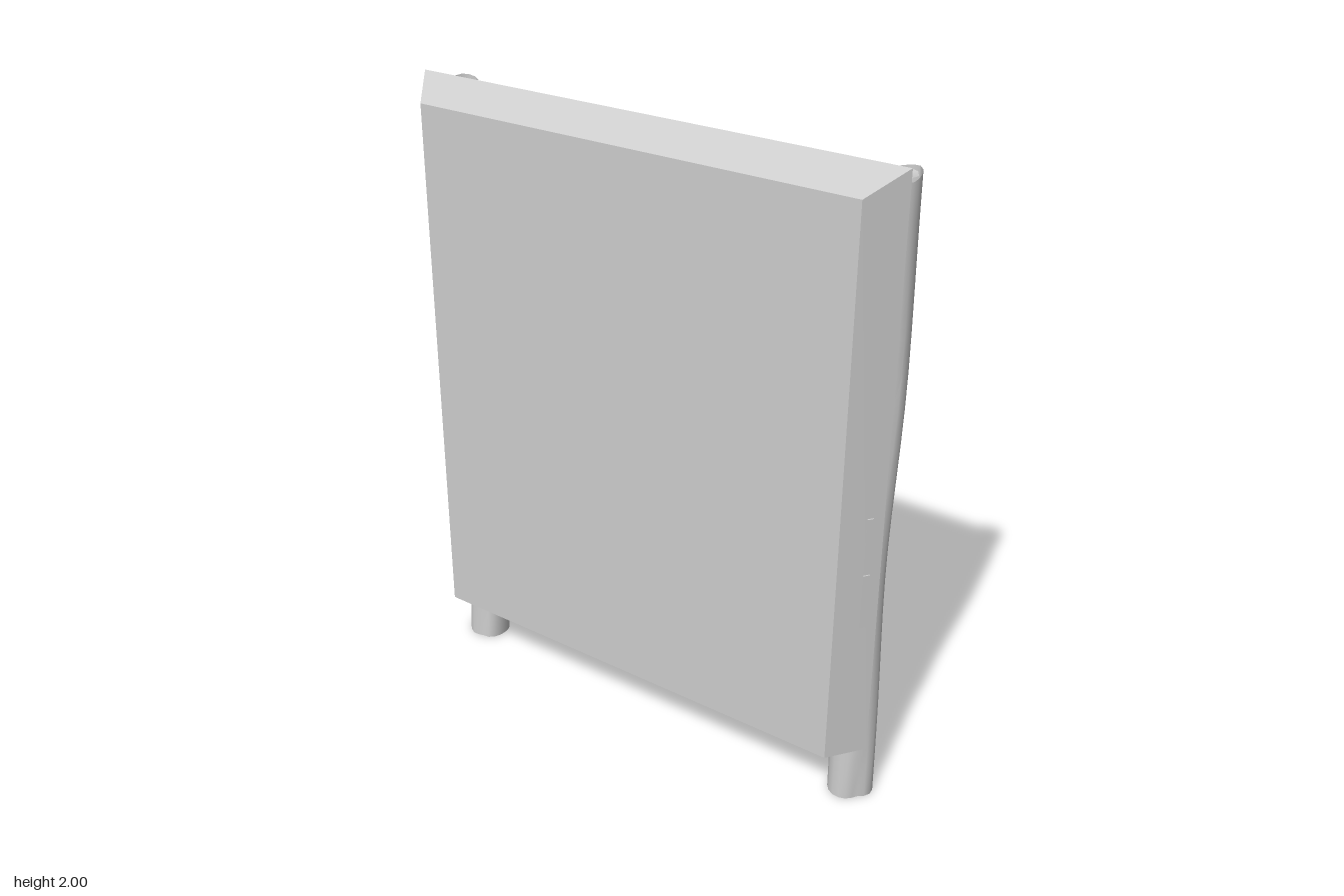
import * as THREE from 'three';
import { mergeVertices, toCreasedNormals } from 'three/addons/utils/BufferGeometryUtils.js';

const grey = new THREE.MeshStandardMaterial({ color: 0xcccccc, side: THREE.DoubleSide });

function add(parent, geometry, name) {
  const mesh = new THREE.Mesh(geometry, grey);
  mesh.name = name;
  parent.add(mesh);
  return mesh;
}

// Hollow panel, open below: front, ridge and back outlines joined by bevels
function panelGeometry() {
  const outline = (left, right, top, z, lean = 0) => [
    [left + lean, 0.205, z], [left, top, z], [right, top, z], [right + lean, 0.205, z],
  ];
  const front = outline(-0.735, 0.73, 1.935, 0.118);
  const ridge = outline(-0.813, 0.805, 2, 0.008, 0.005);
  const back = outline(-0.735, 0.73, 1.935, -0.1);
  const positions = [];
  const quad = (a, b, c, d) => positions.push(...a, ...b, ...c, ...a, ...c, ...d);
  quad(front[0], front[3], front[2], front[1]);
  quad(back[0], back[1], back[2], back[3]);
  for (let i = 0; i < 3; i++) {
    quad(front[i], front[i + 1], ridge[i + 1], ridge[i]);
    quad(ridge[i], ridge[i + 1], back[i + 1], back[i]);
  }
  const geometry = new THREE.BufferGeometry();
  geometry.setAttribute('position', new THREE.Float32BufferAttribute(positions, 3));
  geometry.computeVertexNormals();
  return geometry;
}

// Gnarled trunk: a cylinder that wanders and has winding grooves
function postGeometry(phase) {
  const height = 1.965;
  let geometry = new THREE.CylinderGeometry(0.066, 0.069, height, 20, 18, true);
  geometry.translate(0, height / 2, 0);
  geometry.deleteAttribute('normal');
  geometry.deleteAttribute('uv');
  geometry = mergeVertices(geometry);
  const p = geometry.attributes.position;
  for (let i = 0; i < p.count; i++) {
    const y = p.getY(i);
    const angle = Math.atan2(p.getX(i), p.getZ(i));
    let scale = 1 + 0.04 * Math.sin(angle * 3 + y * 2 + phase);
    for (const start of [0.1, 2.1, 3.9]) {
      const away = angle - start - phase * 0.3 - 0.3 * Math.sin(y * 2.4 + start);
      const depth = 0.13 + 0.09 * Math.sin(y * 4 + start * 2 + phase);
      scale -= depth * Math.exp(-14 * (1 - Math.cos(away)));
    }
    p.setX(i, p.getX(i) * scale + 0.008 * Math.sin(y * 3.4 + phase));
    p.setZ(i, p.getZ(i) * scale - 0.006 * Math.sin(y * 6.5 - 0.8));
    if (y > height - 0.01) p.setY(i, y + 0.01 * Math.sin(angle * 2 + phase));
  }
  return toCreasedNormals(geometry, 0.7);
}

// Uneven, slightly sunken cut at the top of a trunk
function postTopGeometry() {
  const geometry = new THREE.ConeGeometry(0.058, 0.02, 9, 1, true);
  geometry.rotateX(Math.PI);
  return geometry.toNonIndexed();
}

export function createModel() {
  const model = new THREE.Group();
  model.name = 'doorPanelOnPosts';

  add(model, panelGeometry(), 'panel');

  // Posts behind both edges
  for (const [name, x, phase] of [['rightPost', -0.725, 0.4], ['leftPost', 0.737, 2.6]]) {
    const post = new THREE.Group();
    post.name = name;
    add(post, postGeometry(phase), 'trunk');
    add(post, postTopGeometry(), 'trunkTop').position.y = 1.952;
    post.position.set(x, 0, -0.043);
    model.add(post);
  }

  // Two thin plates on the left bevel
  for (const [name, y] of [['lowerPlate', 0.742], ['upperPlate', 0.925]]) {
    const plate = add(model, new THREE.BoxGeometry(0.008, 0.175, 0.02), name);
    plate.position.set(0.783, y, 0.045);
    plate.rotation.y = -0.6;
  }

  return model;
}
